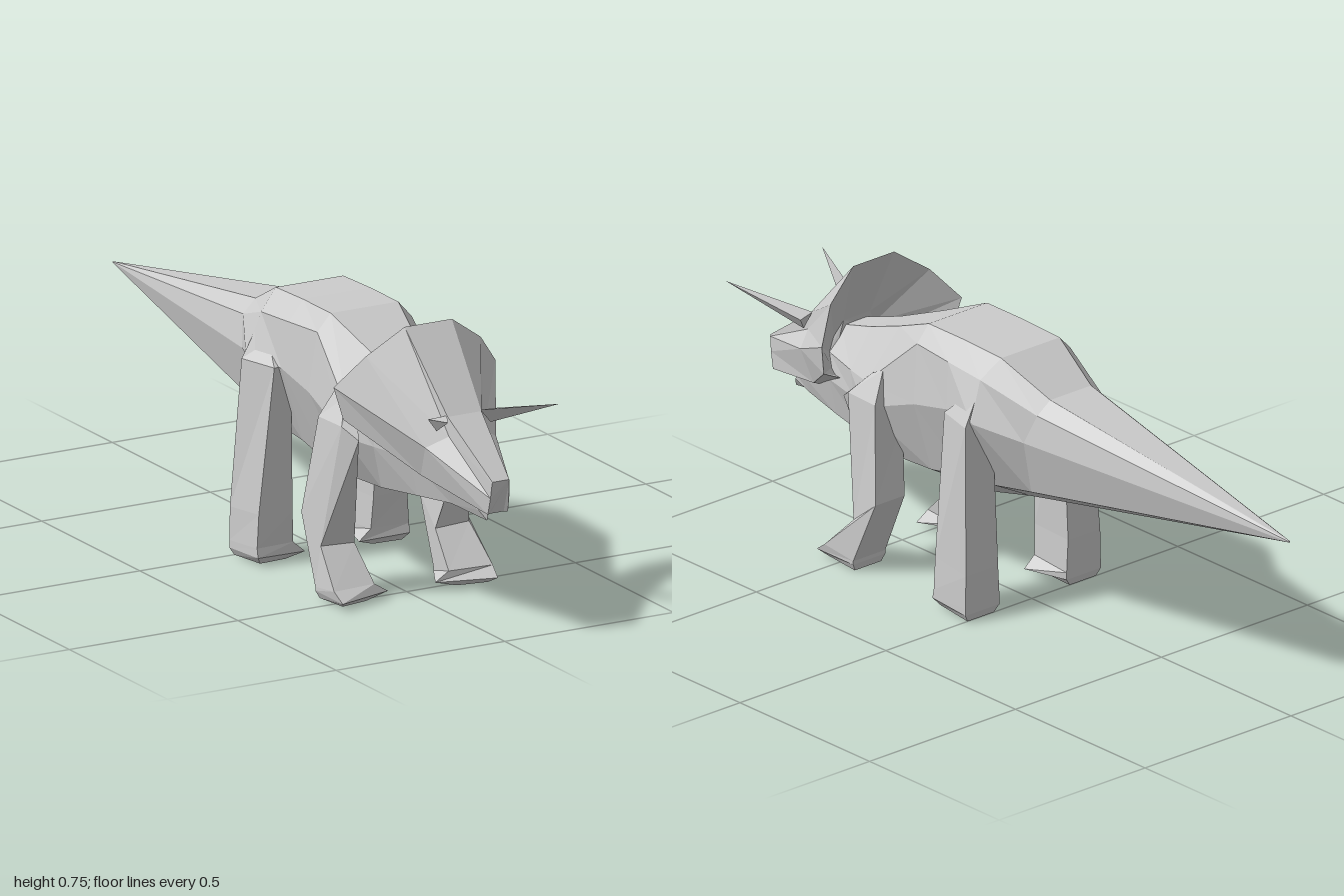
import * as THREE from 'three';

const material = new THREE.MeshStandardMaterial({
  color: 0xcccccc, flatShading: true, side: THREE.DoubleSide,
});

// Skin between successive rings of [x, y, z] points, with both ends capped.
function loft(name, rings) {
  const n = rings[0].length;
  const index = [];
  for (let i = 0; i < rings.length - 1; i++) {
    for (let j = 0; j < n; j++) {
      const k = (j + 1) % n;
      const a = i * n + j, b = i * n + k, c = b + n, d = a + n;
      index.push(a, b, c, a, c, d);
    }
  }
  const last = (rings.length - 1) * n;
  for (let j = 1; j < n - 1; j++) {
    index.push(0, j + 1, j, last, last + j, last + j + 1);
  }
  const indexed = new THREE.BufferGeometry();
  indexed.setAttribute('position', new THREE.Float32BufferAttribute(rings.flat(2), 3));
  indexed.setIndex(index);
  const geometry = indexed.toNonIndexed();
  geometry.computeVertexNormals();
  const mesh = new THREE.Mesh(geometry, material);
  mesh.name = name;
  return mesh;
}

const mirrorRing = (ring) => ring.map(([x, y, z]) => [-x, y, z]).reverse();

// Full ring from its left half, listed top to bottom.
const symmetric = (half) => [...half, ...mirrorRing(half)];

// Left and right copies of a part.
function pair(name, rings) {
  const group = new THREE.Group();
  group.name = name + 's';
  group.add(loft(name + 'Left', rings), loft(name + 'Right', rings.map(mirrorRing)));
  return group;
}

export function createModel() {
  const model = new THREE.Group();
  model.name = 'hornedDinosaur';

  // Lower jaw, neck, trunk and tail: spine, ridge, flank, belly edge, keel
  const body = [
    [[.015, .345, .89], [.018, .342, .89], [.02, .34, .89], [.015, .325, .9], [0, .3, .915]],
    [[.03, .40, .81], [.05, .395, .81], [.06, .37, .81], [.045, .325, .81], [0, .31, .81]],
    [[.035, .55, .7], [.085, .49, .69], [.095, .42, .68], [.07, .315, .68], [0, .297, .68]],
    [[.05, .59, .57], [.12, .49, .57], [.125, .42, .55], [.09, .3, .53], [0, .28, .51]],
    [[.075, .645, .43], [.155, .5, .47], [.165, .43, .47], [.1, .295, .38], [0, .265, .35]],
    [[.1, .705, .29], [.14, .66, .29], [.16, .5, .28], [.1, .3, .28], [0, .26, .24]],
    [[.1, .705, .15], [.15, .655, .16], [.165, .53, .15], [.1, .325, .15], [0, .254, .14]],
    [[.1, .7, .01], [.155, .648, .03], [.195, .54, .02], [.1, .335, .04], [0, .286, .01]],
    [[.07, .625, -.145], [.11, .59, -.14], [.13, .51, -.11], [.095, .36, -.1], [0, .308, -.1]],
    [[0, .487, -.99], [.002, .486, -.99], [.002, .485, -.99], [.002, .484, -.99], [0, .483, -.99]],
  ];
  model.add(loft('bodyAndTail', body.map(symmetric)));

  // Snout, brow, flared frill rim and hollow frill back
  const head = [
    [[.025, .425, .985], [.026, .42, .985], [.028, .38, .98], [.03, .335, .97], [.02, .335, .965]],
    [[.05, .555, .8], [.052, .505, .81], [.105, .475, .78], [.095, .39, .74], [.06, .375, .74]],
    [[.07, .75, .615], [.17, .68, .59], [.24, .595, .545], [.22, .51, .56], [.08, .43, .64]],
    [[.045, .57, .68], [.07, .53, .69], [.085, .49, .69], [.085, .45, .68], [.06, .42, .68]],
  ];
  model.add(loft('headAndFrill', head.map(symmetric)));

  // Brow horns
  model.add(pair('horn', [
    [[.165, .61, 1], [.165, .61, 1], [.165, .61, 1]],
    [[.05, .557, .795], [.1, .552, .785], [.08, .52, .795]],
  ]));

  // Legs: rings run shoulder to sole as front outer, front inner, back inner, back outer
  model.add(pair('frontLeg', [
    [[.15, .53, .45], [.12, .53, .45], [.12, .53, .41], [.15, .55, .41]],
    [[.19, .47, .5], [.165, .44, .545], [.1, .4, .39], [.195, .47, .39]],
    [[.22, .14, .445], [.12, .135, .445], [.125, .21, .355], [.225, .21, .355]],
    [[.235, .045, .54], [.11, .045, .53], [.12, .03, .435], [.23, .03, .435]],
    [[.23, .02, .575], [.07, .02, .53], [.12, .02, .435], [.23, .02, .435]],
    [[.215, .005, .55], [.135, .003, .53], [.13, 0, .44], [.22, 0, .44]],
  ]));
  model.add(pair('hindLeg', [
    [[.155, .58, .07], [.13, .58, .07], [.13, .58, .03], [.155, .63, .03]],
    [[.18, .53, .14], [.13, .53, .14], [.12, .5, .02], [.21, .53, .025]],
    [[.22, .14, .13], [.12, .135, .13], [.12, .13, 0], [.23, .13, 0]],
    [[.225, .05, .13], [.115, .05, .125], [.115, .04, 0], [.232, .04, 0]],
    [[.225, .025, .135], [.08, .02, .125], [.115, .02, 0], [.232, .02, 0]],
    [[.21, .005, .12], [.13, .003, .11], [.13, 0, .005], [.22, 0, .005]],
  ]));

  // Centre the nose-to-tail length
  model.position.z = -.005;
  return model;
}
